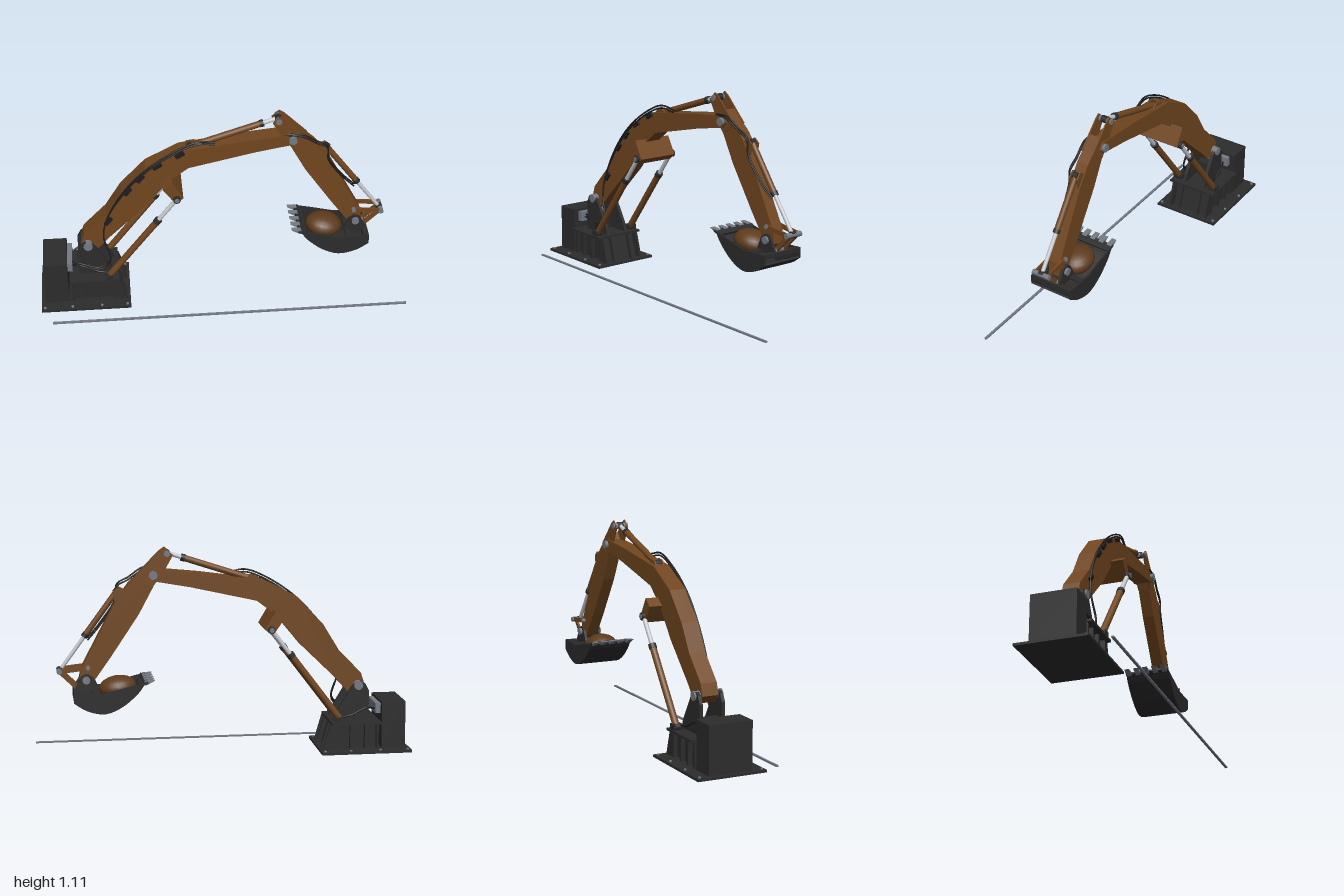
import * as THREE from 'three';

const mat = (name, color, side = THREE.FrontSide) => {
  const m = new THREE.MeshStandardMaterial({ color, side });
  m.name = name;
  return m;
};

export function createModel() {
  const model = new THREE.Group();
  model.name = 'excavatorArm';
  const paint = mat('brownPaint', 0x70461f);
  const dark = mat('darkSteel', 0x2c2c2d);
  const rubber = mat('blackRubber', 0x1d1d1e);
  const chrome = mat('chrome', 0xc4c6ca);
  const grey = mat('greySteel', 0x747983);
  const soil = mat('soil', 0x5e3b1c);
  const Z = -0.05; // centre plane of the arm

  const add = (name, geo, m) => {
    const mesh = new THREE.Mesh(geo, m);
    mesh.name = name;
    model.add(mesh);
    return mesh;
  };
  const box = (name, m, x, y, z, w, h, d) => {
    const mesh = add(name, new THREE.BoxGeometry(w, h, d), m);
    mesh.position.set(x, y, z);
    return mesh;
  };
  // Side profile in x, y given thickness d about z
  const plate = (name, m, pts, z, d) => {
    const geo = new THREE.ExtrudeGeometry(
      new THREE.Shape(pts.map(p => new THREE.Vector2(...p))), { depth: d, bevelEnabled: false });
    geo.translate(0, 0, z - d / 2);
    return add(name, geo, m);
  };
  const rod = (name, m, a, b, r, sides = 20) => {
    const A = new THREE.Vector3(...a), B = new THREE.Vector3(...b);
    const mesh = add(name, new THREE.CylinderGeometry(r, r, A.distanceTo(B), sides), m);
    mesh.position.copy(A).add(B).multiplyScalar(0.5);
    mesh.quaternion.setFromUnitVectors(new THREE.Vector3(0, 1, 0), B.sub(A).normalize());
    return mesh;
  };
  const pin = (name, m, x, y, z, r, len) => rod(name, m, [x, y, z - len / 2], [x, y, z + len / 2], r);
  const hose = (name, pts, r = 0.005) => add(name, new THREE.TubeGeometry(
    new THREE.CatmullRomCurve3(pts.map(p => new THREE.Vector3(...p))), pts.length * 8, r, 8), rubber);
  // Flat link with a given width between two points
  const link = (name, m, a, b, w, z, d) => {
    const l = Math.hypot(b[0] - a[0], b[1] - a[1]);
    const mesh = box(name, m, (a[0] + b[0]) / 2, (a[1] + b[1]) / 2, z, l, w, d);
    mesh.rotation.z = Math.atan2(b[1] - a[1], b[0] - a[0]);
    return mesh;
  };
  // Hydraulic cylinder: barrel, collar, rod and two eyes
  const hydraulic = (name, a, b, split, r, z) => {
    const at = t => [a[0] + (b[0] - a[0]) * t, a[1] + (b[1] - a[1]) * t, z];
    rod(name + 'Barrel', paint, at(0), at(split), r);
    rod(name + 'Collar', dark, at(split - 0.03), at(split + 0.012), r * 1.15);
    rod(name + 'Rod', chrome, at(split), at(1), r * 0.66);
    pin(name + 'LowerEye', dark, a[0], a[1], z, r * 1.1, r * 1.8);
    pin(name + 'UpperEye', dark, b[0], b[1], z, r * 1.1, r * 1.8);
  };

  // Ground rail
  box('groundRail', grey, 0.03, 0.004, 0.235, 1.94, 0.008, 0.013);

  // Base plate, bolts and pedestal
  box('basePlate', dark, -0.755, 0.0065, Z, 0.49, 0.013, 0.38);
  for (const x of [-0.98, -0.83, -0.67, -0.53])
    for (const z of [-0.222, 0.122]) rod('baseBolt', grey, [x, 0.012, z], [x, 0.02, z], 0.008, 6);
  plate('pedestal', dark, [[-0.83, 0.013], [-0.55, 0.013], [-0.59, 0.152], [-0.83, 0.152]], Z, 0.2);
  box('pedestalTop', dark, -0.705, 0.156, Z, 0.27, 0.012, 0.29);
  for (const x of [-0.825, -0.76, -0.68, -0.6])
    for (const s of [-1, 1]) box('sideRib', dark, x, 0.082, Z + s * 0.11, 0.012, 0.14, 0.025);
  for (const o of [-0.117, -0.06, 0.06, 0.117])
    plate('frontRib', dark, [[-0.6, 0.013], [-0.525, 0.013], [-0.565, 0.152], [-0.6, 0.152]], Z + o, 0.012);

  // Cabinet and motor
  box('cabinet', dark, -0.912, 0.139, Z, 0.13, 0.255, 0.24);
  box('motor', grey, -0.834, 0.226, Z, 0.03, 0.055, 0.18);

  // Pivot bracket
  for (const s of [-1, 1])
    plate('pivotBracket', dark, [[-0.785, 0.16], [-0.59, 0.16], [-0.61, 0.21], [-0.69, 0.345],
      [-0.715, 0.368], [-0.74, 0.374], [-0.765, 0.36], [-0.785, 0.32]], Z + s * 0.062, 0.018);
  pin('boomPivotPin', grey, -0.727, 0.352, Z, 0.024, 0.16);
  box('bracketWeb', dark, -0.75, 0.2, Z, 0.05, 0.08, 0.11);

  // Boom
  plate('boom', paint, [[-0.765, 0.353], [-0.73, 0.312], [-0.67, 0.318], [-0.605, 0.39],
    [-0.415, 0.575], [-0.28, 0.74], [-0.175, 0.82], [0.18, 0.9], [0.375, 0.935], [0.405, 0.965],
    [0.38, 0.998], [0.13, 0.973], [-0.22, 0.925], [-0.4, 0.83], [-0.535, 0.685], [-0.62, 0.545],
    [-0.745, 0.415]], Z, 0.09);
  pin('stickPivotPin', grey, 0.375, 0.967, Z, 0.022, 0.122);
  plate('liftBlock', paint, [[-0.315, 0.735], [-0.25, 0.642], [-0.208, 0.675], [-0.265, 0.772]], Z, 0.23);
  pin('liftPin', grey, -0.243, 0.674, Z, 0.013, 0.27);

  // Lift cylinders
  for (const s of [-1, 1]) {
    const z = Z + s * 0.115;
    hydraulic('liftCylinder', [-0.622, 0.175], [-0.243, 0.674], 0.73, 0.018, z);
    for (const o of [-0.022, 0.022]) box('liftLug', dark, -0.622, 0.174, z + o, 0.045, 0.035, 0.008);
  }

  // Stick with two upper ears
  plate('stick', paint, [[0.34, 0.975], [0.375, 0.9], [0.45, 0.76], [0.6, 0.535], [0.7, 0.395],
    [0.735, 0.375], [0.77, 0.4], [0.76, 0.47], [0.66, 0.66], [0.57, 0.83], [0.5, 0.925],
    [0.455, 0.965], [0.39, 1.03]], Z, 0.064);
  for (const s of [-1, 1])
    plate('stickEar', paint, [[0.268, 1.07], [0.33, 0.96], [0.38, 0.9], [0.46, 0.965], [0.335, 1.09],
      [0.308, 1.108]], Z + s * 0.032, 0.007);
  hydraulic('stickCylinder', [-0.16, 0.93], [0.3, 1.08], 0.82, 0.017, Z);
  pin('stickCylinderPin', grey, 0.3, 1.078, Z, 0.016, 0.084);
  for (const s of [-1, 1])
    plate('boomLug', paint, [[-0.21, 0.915], [-0.11, 0.93], [-0.14, 0.955], [-0.18, 0.95]], Z + s * 0.022, 0.008);

  // Bucket cylinder and linkage
  hydraulic('bucketCylinder', [0.56, 0.885], [0.868, 0.465], 0.57, 0.016, Z);
  for (const s of [-1, 1]) {
    plate('bucketCylinderLug', paint, [[0.51, 0.88], [0.57, 0.8], [0.585, 0.88], [0.555, 0.905]], Z + s * 0.022, 0.008);
    link('rockerLink', paint, [0.72, 0.482], [0.872, 0.465], 0.024, Z + s * 0.038, 0.01);
    link('pushLink', paint, [0.872, 0.465], [0.775, 0.37], 0.024, Z + s * 0.024, 0.012);
    plate('bucketEar', dark, [[0.66, 0.35], [0.8, 0.345], [0.785, 0.385], [0.755, 0.44], [0.725, 0.45],
      [0.695, 0.43]], Z + s * 0.045, 0.014);
  }
  pin('linkPin', grey, 0.872, 0.465, Z, 0.014, 0.1);
  pin('rockerPin', grey, 0.722, 0.482, Z, 0.012, 0.1);
  pin('bucketPin', grey, 0.732, 0.418, Z, 0.02, 0.13);
  pin('pushPin', grey, 0.778, 0.37, Z, 0.012, 0.09);

  // Bucket: curved shell, side walls, rear bar and teeth
  const curve = new THREE.SplineCurve([[0.425, 0.41], [0.465, 0.353], [0.545, 0.285], [0.636, 0.248],
    [0.73, 0.266], [0.8, 0.31]].map(p => new THREE.Vector2(...p))).getPoints(20);
  const outer = curve.map(p => [p.x, p.y]);
  const inner = curve.map((p, i) => {
    const t = curve[Math.min(i + 1, 20)].clone().sub(curve[Math.max(i - 1, 0)]).normalize();
    return [p.x - t.y * 0.01, p.y + t.x * 0.01];
  }).reverse();
  plate('bucketShell', dark, [...outer, ...inner], Z, 0.244);
  for (const s of [-1, 1])
    plate('bucketSide', dark, [...outer, [0.8, 0.35], [0.76, 0.362], [0.64, 0.358], [0.52, 0.388]], Z + s * 0.118, 0.01);
  box('bucketRearBar', dark, 0.785, 0.353, Z, 0.03, 0.022, 0.244);
  box('bucketTopBar', dark, 0.69, 0.353, Z, 0.03, 0.016, 0.244);
  box('bucketLip', dark, 0.433, 0.402, Z, 0.045, 0.012, 0.244).rotation.z = -0.4;
  for (let i = 0; i < 5; i++)
    plate('tooth', grey, [[0.375, 0.42], [0.42, 0.395], [0.435, 0.404], [0.425, 0.417]], Z + (i - 2) * 0.052, 0.028);
  const load = add('soilLoad', new THREE.SphereGeometry(1, 20, 12), soil);
  load.scale.set(0.1, 0.06, 0.088);
  load.position.set(0.565, 0.368, Z);
  load.rotation.z = -0.15;

  // Hoses along the boom and stick, with clamps
  for (const o of [0, 0.014]) {
    hose('boomHose', [[-0.83, 0.235, 0], [-0.77, 0.24, 0.03], [-0.67, 0.2 + o, 0.035], [-0.61, 0.25 + o, 0.03],
      [-0.64, 0.4, 0.012], [-0.62, 0.51, 0.004], [-0.53, 0.665 + o, 0], [-0.4, 0.81 + o, 0],
      [-0.23, 0.925 + o, -0.005], [-0.12, 0.965 + o, -0.01], [-0.03, 0.95 + o, -0.02]], 0.0045);
    hose('stickHose', [[0.33, 1.0, -0.005], [0.42, 0.985 + o, -0.005], [0.5, 0.935 + o, -0.012],
      [0.56, 0.9 + o, -0.015], [0.57, 0.82 + o, -0.015], [0.65, 0.7 + o, -0.025], [0.72, 0.62 + o, -0.04]], 0.0045);
  }
  for (const [x, y] of [[-0.61, 0.5], [-0.5, 0.69], [-0.43, 0.77], [-0.34, 0.845], [-0.22, 0.91]])
    box('hoseClamp', rubber, x, y, 0.001, 0.05, 0.022, 0.014).rotation.z = x < -0.4 ? 0.9 : 0.55;
  for (const s of [-1, 1])
    hose('baseHose', [[-0.82, 0.22, Z + s * 0.06], [-0.77, 0.23, Z + s * 0.085], [-0.68, 0.19, Z + s * 0.09],
      [-0.62, 0.185, Z + s * 0.1]]);
  return model;
}
